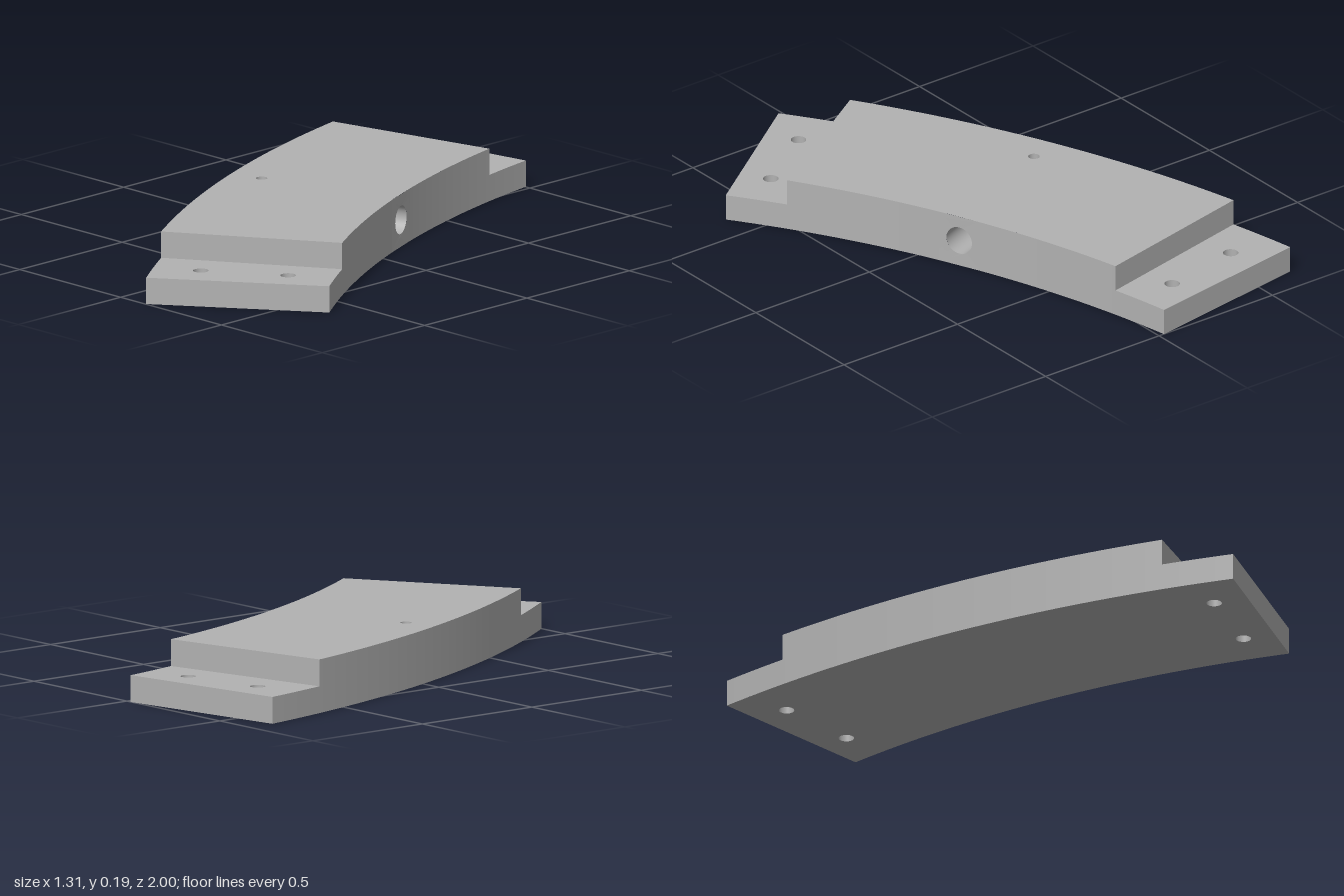
import * as THREE from 'three';

const RAD = Math.PI / 180;
const CX = 3.79, CZ = -1.63;            // centre of the arc
const R_IN = 3.863, R_OUT = 4.51;       // inner and outer radius
const MID = 22.5 * RAD, END = 13.13 * RAD, STEP = 9.8 * RAD;
const LAP = 0.095, TOP = 0.19;          // lap height and full height
const BORE_Y = 0.097, BORE_R = 0.051, BORE_END = 4.42;

// Point on the arc at radius r and angle a from the middle
const at = (r, a, y = 0) =>
  new THREE.Vector3(CX - r * Math.cos(MID + a), y, CZ + r * Math.sin(MID + a));

// Turn a surface inside out
function flip(geo) {
  geo.index.array.reverse();
  const n = geo.attributes.normal;
  for (let i = 0; i < n.array.length; i++) n.array[i] *= -1;
  return geo;
}

// Horizontal ring sector with round holes, facing up or down
function sheet(a0, a1, y, holes, up = true) {
  const s = up ? -1 : 1, pts = [], N = 48;
  const add = (r, a) => { const p = at(r, a); pts.push(new THREE.Vector2(p.x, s * p.z)); };
  for (let i = 0; i <= N; i++) add(R_OUT, a0 + (a1 - a0) * i / N);
  for (let i = N; i >= 0; i--) add(R_IN, a0 + (a1 - a0) * i / N);
  const shape = new THREE.Shape(pts);
  for (const h of holes) {
    const c = at(h.r, h.a);
    shape.holes.push(new THREE.Path().absarc(c.x, s * c.z, h.size, 0, Math.PI * 2, true));
  }
  return new THREE.ShapeGeometry(shape, 16).rotateX(s * Math.PI / 2).translate(0, y, 0);
}

// Curved upright wall
function wall(r, a0, a1, y0, y1) {
  const n = Math.max(4, Math.ceil((a1 - a0) / RAD * 2));
  const geo = new THREE.CylinderGeometry(r, r, y1 - y0, n, 1, true, MID + a0 - Math.PI / 2, a1 - a0)
    .translate(CX, (y0 + y1) / 2, CZ);
  return r === R_IN ? flip(geo) : geo;
}

// Flat radial wall; dir is +1 towards the front end, -1 towards the back end
function radialWall(a, y0, y1, dir) {
  const p = at((R_IN + R_OUT) / 2, a, (y0 + y1) / 2);
  return new THREE.PlaneGeometry(R_OUT - R_IN, y1 - y0)
    .rotateY(MID + a + (dir < 0 ? Math.PI : 0)).translate(p.x, p.y, p.z);
}

// Inside of a vertical hole
function shaft(h, y0, y1) {
  const p = at(h.r, h.a, (y0 + y1) / 2);
  return flip(new THREE.CylinderGeometry(h.size, h.size, y1 - y0, 32, 1, true)).translate(p.x, p.y, p.z);
}

// Piece of the inner wall with the bore opening, bent onto the arc
function borePanel(half) {
  const shape = new THREE.Shape();
  shape.moveTo(-half, 0).lineTo(half, 0).lineTo(half, TOP).lineTo(-half, TOP);
  shape.holes.push(new THREE.Path().absarc(0, BORE_Y, BORE_R, 0, Math.PI * 2, true));
  const geo = new THREE.ShapeGeometry(shape, 24), pos = geo.attributes.position;
  for (let i = 0; i < pos.count; i++) {
    const p = at(R_IN, -pos.getX(i) / R_IN, pos.getY(i));
    pos.setXYZ(i, p.x, p.y, p.z);
  }
  geo.computeVertexNormals();
  return geo;
}

export function createModel() {
  const grey = new THREE.MeshStandardMaterial({ color: 0xb2b2b2 });
  grey.name = 'grey';
  const model = new THREE.Group();
  model.name = 'curvedSegment';
  const add = (name, geo) => {
    const mesh = new THREE.Mesh(geo, grey);
    mesh.name = name;
    model.add(mesh);
    return mesh;
  };

  const lapHoles = dir => [4.03, 4.34].map(r => ({ r, a: dir * 11.5 * RAD, size: 0.027 }));
  const pinHole = { r: 4.389, a: 0, size: 0.02 };

  // Top and bottom faces
  add('bottomFace', sheet(-END, END, 0, [...lapHoles(-1), ...lapHoles(1)], false));
  add('topFace', sheet(-STEP, STEP, TOP, [pinHole]));

  // Outer wall, and inner wall on both sides of the bore panel
  const half = 0.08, gap = half / R_IN;
  add('outerWall', wall(R_OUT, -STEP, STEP, 0, TOP));
  add('innerWallBack', wall(R_IN, -STEP, -gap, 0, TOP));
  add('innerWallFront', wall(R_IN, gap, STEP, 0, TOP));
  add('borePanel', borePanel(half));

  // Half-height laps at both ends
  for (const dir of [-1, 1]) {
    const side = dir < 0 ? 'back' : 'front';
    const a0 = dir < 0 ? -END : STEP, a1 = dir < 0 ? -STEP : END;
    add(side + 'Ledge', sheet(a0, a1, LAP, lapHoles(dir)));
    add(side + 'LapOuterWall', wall(R_OUT, a0, a1, 0, LAP));
    add(side + 'LapInnerWall', wall(R_IN, a0, a1, 0, LAP));
    add(side + 'Step', radialWall(dir * STEP, LAP, TOP, dir));
    add(side + 'End', radialWall(dir * END, 0, LAP, dir));
    for (const h of lapHoles(dir)) add(side + 'BoltHole', shaft(h, 0, LAP));
  }

  // Blind pin hole in the top
  add('pinHole', shaft(pinHole, 0.145, TOP));
  const floor = at(pinHole.r, 0, 0.149);
  add('pinHoleFloor', new THREE.CircleGeometry(pinHole.size, 24).rotateX(-Math.PI / 2)
    .translate(floor.x, floor.y, floor.z));

  // Blind radial bore from the inner wall
  const len = BORE_END - R_IN;
  const bore = new THREE.Group();
  bore.name = 'bore';
  const tube = add('boreWall', flip(new THREE.CylinderGeometry(BORE_R, BORE_R, len, 48, 1, true)));
  const cap = add('boreEnd', new THREE.CircleGeometry(BORE_R, 48).rotateX(-Math.PI / 2).translate(0, -len / 2, 0));
  bore.add(tube, cap);
  bore.position.copy(at(R_IN + len / 2, 0, BORE_Y));
  const inward = new THREE.Vector3(Math.cos(MID), 0, -Math.sin(MID));
  bore.quaternion.setFromUnitVectors(new THREE.Vector3(0, 1, 0), inward);
  model.add(bore);

  return model;
}
